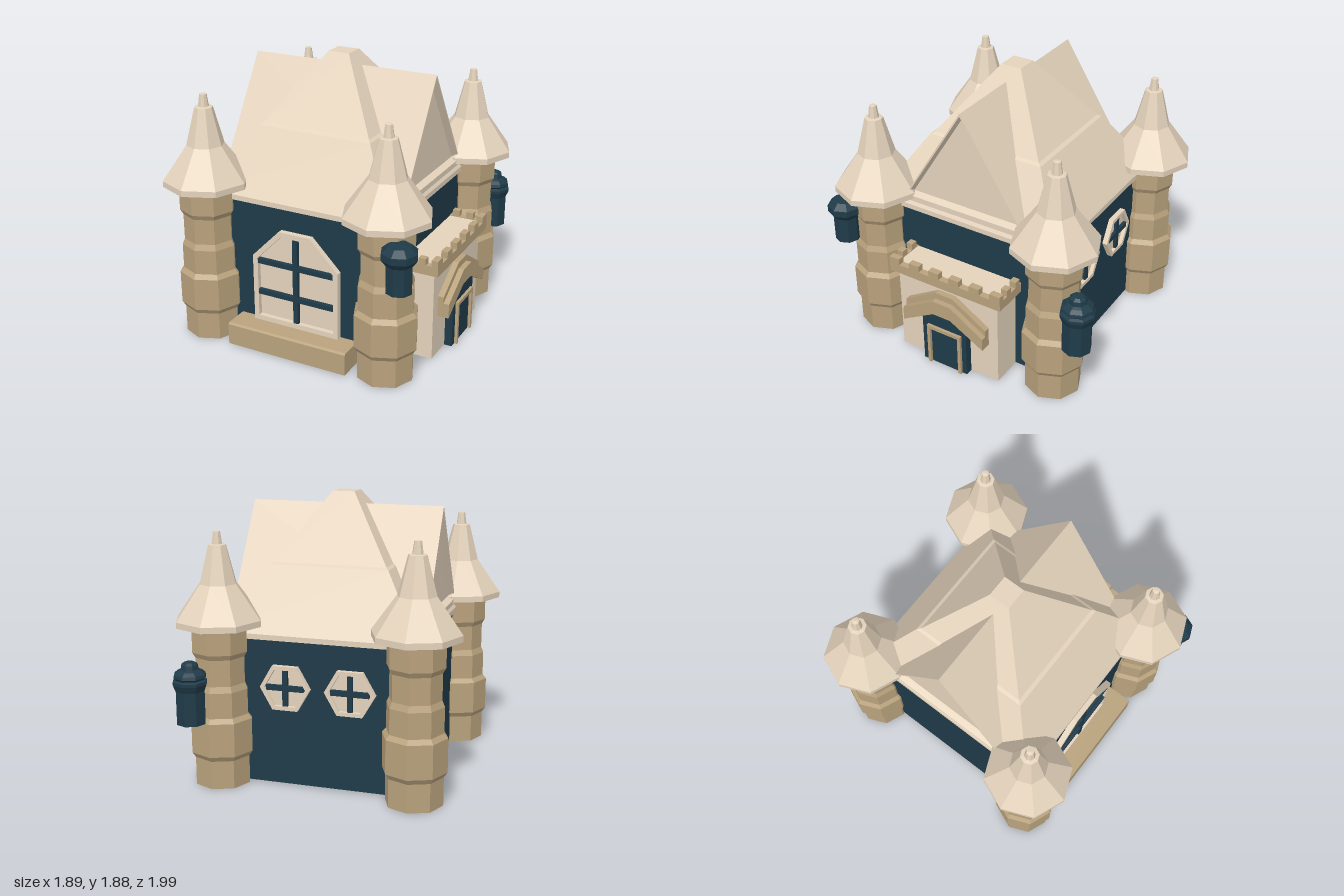
import * as THREE from 'three';

const mat = (name, color) => {
  const m = new THREE.MeshStandardMaterial({ color });
  m.name = name;
  return m;
};

export function createModel() {
  const model = new THREE.Group();
  model.name = 'castleHouse';
  const cream = mat('cream', 0xe4d3bc);
  const stone = mat('tanStone', 0xb9a27d);
  const dark = mat('darkTeal', 0x1f3b49);
  const MID = 0.025; // z of the house centre

  // Helpers: faceted mesh, box from bounds, lathe, loft, and extrusions along z and x
  const add = (name, geo, material, parent = model) => {
    const g = geo.index ? geo.toNonIndexed() : geo;
    g.computeVertexNormals();
    const mesh = new THREE.Mesh(g, material);
    mesh.name = name;
    parent.add(mesh);
    return mesh;
  };
  const box = (name, x0, x1, y0, y1, z0, z1, material, parent) =>
    add(name, new THREE.BoxGeometry(x1 - x0, y1 - y0, z1 - z0)
      .translate((x0 + x1) / 2, (y0 + y1) / 2, (z0 + z1) / 2), material, parent);
  const turned = (name, profile, material, parent) =>
    add(name, new THREE.LatheGeometry(profile.map(([r, y]) => new THREE.Vector2(r, y)), 8), material, parent);
  const loft = (rings) => {
    const n = rings[0].length, last = (rings.length - 1) * n, idx = [];
    for (let r = 0; r < last; r += n)
      for (let i = 0; i < n; i++) {
        const a = r + i, b = r + (i + 1) % n;
        idx.push(a, b, b + n, a, b + n, a + n);
      }
    for (let i = 1; i < n - 1; i++) idx.push(0, i + 1, i, last, last + i, last + i + 1);
    const g = new THREE.BufferGeometry();
    g.setAttribute('position', new THREE.Float32BufferAttribute(rings.flat(2), 3));
    g.setIndex(idx);
    return g;
  };
  const extrude = (pts, depth, hole) => {
    const shape = new THREE.Shape(pts.map(([x, y]) => new THREE.Vector2(x, y)));
    if (hole) shape.holes.push(new THREE.Path(hole.map(([x, y]) => new THREE.Vector2(x, y))));
    return new THREE.ExtrudeGeometry(shape, { depth, bevelEnabled: false });
  };
  // Points are [z, y]; the solid runs from x0 to x1
  const extrudeX = (pts, x0, x1) =>
    extrude(pts.map(([z, y]) => [-z, y]), x1 - x0).rotateY(Math.PI / 2).translate(x0, 0, 0);

  // Main walls, just clear of the ground
  box('walls', -0.64, 0.64, 0.008, 1.0, -0.62, 0.68, dark);

  // Hipped roof through rectangular rings [halfX, halfZ, y]
  const hipRings = [[0.665, 0.68, 0.985], [0.665, 0.68, 1.02], [0.405, 0.42, 1.43], [0.385, 0.395, 1.445], [0.075, 0.073, 1.885]];
  add('hippedRoof', loft(hipRings.map(([hx, hz, y]) =>
    [[-hx, y, MID + hz], [hx, y, MID + hz], [hx, y, MID - hz], [-hx, y, MID - hz]])), cream);

  // Cross gable through triangles along x, its ends hollowed behind a bevelled rim
  const triangle = (x, top, bottom, half) => [[x, bottom, MID + half], [x, bottom, MID - half], [x, top, MID]];
  const gableEnd = [[0.665, 1.8, 1.08, 0.457], [0.665, 1.782, 1.092, 0.437], [0.622, 1.76, 1.112, 0.41]];
  add('crossGable', loft([
    ...gableEnd.map(([x, ...rest]) => triangle(-x, ...rest)).reverse(),
    ...gableEnd.map((end) => triangle(...end)),
  ]), cream);
  for (const s of [-1, 1])
    box('gableLedge', s > 0 ? 0.58 : -0.655, s > 0 ? 0.655 : -0.58, 1.045, 1.08, MID - 0.46, MID + 0.46, cream);

  // Corner towers with pointed roofs
  for (const x of [-0.655, 0.655])
    for (const z of [-0.655, 0.705]) {
      const tower = new THREE.Group();
      tower.name = 'tower';
      tower.position.set(x, 0, z);
      model.add(tower);
      turned('towerShaft', [[0, 0], [0.19, 0], [0.19, 0.19], [0.213, 0.225], [0.213, 0.45], [0.187, 0.48], [0.187, 0.65],
        [0.17, 0.69], [0.17, 0.865], [0.19, 0.9], [0.19, 1.08]], stone, tower);
      turned('towerRoof', [[0, 1.07], [0.29, 1.07], [0.29, 1.11], [0.125, 1.34], [0.06, 1.59], [0, 1.6]], cream, tower);
      turned('finial', [[0.036, 1.59], [0.024, 1.675], [0, 1.68]], cream, tower);
    }

  // Front arched window
  const arch = (d) => [[-0.31 + d, 0.155 + d], [0.32 - d, 0.155 + d], [0.32 - d, 0.625 - d * 0.4], [0.12 - d * 0.4, 0.83 - d],
    [-0.11 + d * 0.4, 0.83 - d], [-0.31 + d, 0.625 - d * 0.4]];
  const frontWindow = new THREE.Group();
  frontWindow.name = 'frontWindow';
  frontWindow.position.z = 0.68;
  model.add(frontWindow);
  add('windowFrame', extrude(arch(0), 0.04, arch(0.035)), cream, frontWindow);
  add('windowPane', extrude(arch(0.03), 0.008), cream, frontWindow);
  box('verticalBar', -0.013, 0.022, 0.175, 0.795, 0, 0.036, dark, frontWindow);
  for (const y of [0.365, 0.59]) box('crossBar', -0.28, 0.287, y - 0.017, y + 0.017, 0, 0.038, dark, frontWindow);

  // Front step with a fine chamfered edge
  add('frontStep', extrudeX([[0.66, 0], [0.86, 0], [0.86, 0.145], [0.845, 0.155], [0.66, 0.155]], -0.433, 0.443), stone);

  // Two hexagonal back windows
  const hexagon = (r) => Array.from({ length: 6 }, (_, i) => [r * Math.cos(i * Math.PI / 3), r * Math.sin(i * Math.PI / 3)]);
  for (const x of [0.212, -0.225]) {
    const w = new THREE.Group();
    w.name = 'backWindow';
    w.position.set(x, 0.67, -0.62);
    w.rotation.y = Math.PI;
    model.add(w);
    add('hexFrame', extrude(hexagon(0.17), 0.035, hexagon(0.14)), cream, w);
    add('hexPane', extrude(hexagon(0.145), 0.008), cream, w);
    box('hexBarUpright', -0.018, 0.018, -0.121, 0.121, 0, 0.028, dark, w);
    box('hexBarLevel', -0.13, 0.13, -0.018, 0.018, 0, 0.03, dark, w);
  }

  // Entrance porch with a raised deck and battlements
  box('porch', 0.62, 0.855, 0.004, 0.64, -0.355, 0.42, cream);
  box('porchDeck', 0.62, 0.855, 0.64, 0.685, -0.37, 0.43, cream);
  box('parapetFront', 0.85, 0.895, 0.625, 0.69, -0.4, 0.462, stone);
  const pitch = 0.862 / 11;
  for (let i = 0; i < 11; i += 2)
    box('merlon', 0.85, 0.895, 0.69, 0.733, -0.4 + i * pitch, -0.4 + (i + 1) * pitch, stone);
  for (const z of [-0.4, 0.417]) {
    box('parapetSide', 0.64, 0.85, 0.625, 0.69, z, z + 0.045, stone);
    for (const x of [0.66, 0.76]) box('sideMerlon', x, x + 0.05, 0.69, 0.733, z, z + 0.045, stone);
  }

  // Doorway, door frame and bent hood
  add('doorway', extrudeX([[-0.14, 0], [0.205, 0], [0.205, 0.36], [0.1, 0.43], [-0.035, 0.43], [-0.14, 0.37]], 0.82, 0.908), dark);
  box('doorLintel', 0.9, 0.928, 0.285, 0.31, -0.105, 0.16, stone);
  for (const z of [-0.105, 0.137]) box('doorPost', 0.9, 0.928, 0, 0.285, z, z + 0.023, stone);
  const hood = (drop) => [[0.345, 0.285], [0.345, 0.43 - drop], [0.1, 0.575 - drop], [-0.035, 0.575 - drop],
    [-0.285, 0.42 - drop], [-0.285, 0.285], [-0.035, 0.425], [0.1, 0.425]];
  add('hoodBack', extrudeX(hood(0), 0.845, 0.895), stone);
  add('hoodFront', extrudeX(hood(0.045), 0.895, 0.933), stone);

  // Hanging lanterns on the right-hand towers
  turned('frontLantern', [[0, 0.7], [0.085, 0.7], [0.085, 0.88], [0.117, 0.92], [0.117, 0.965], [0.075, 1.003], [0, 1.005]], dark)
    .position.set(0.817, 0, 0.877);
  turned('backLantern', [[0, 0.46], [0.097, 0.46], [0.097, 0.68], [0.115, 0.725], [0.115, 0.745], [0.095, 0.755], [0.11, 0.77],
    [0.105, 0.79], [0.08, 0.81], [0.06, 0.82], [0.055, 0.85], [0.035, 0.865], [0, 0.867]], dark).position.set(0.767, 0, -0.882);

  return model;
}
